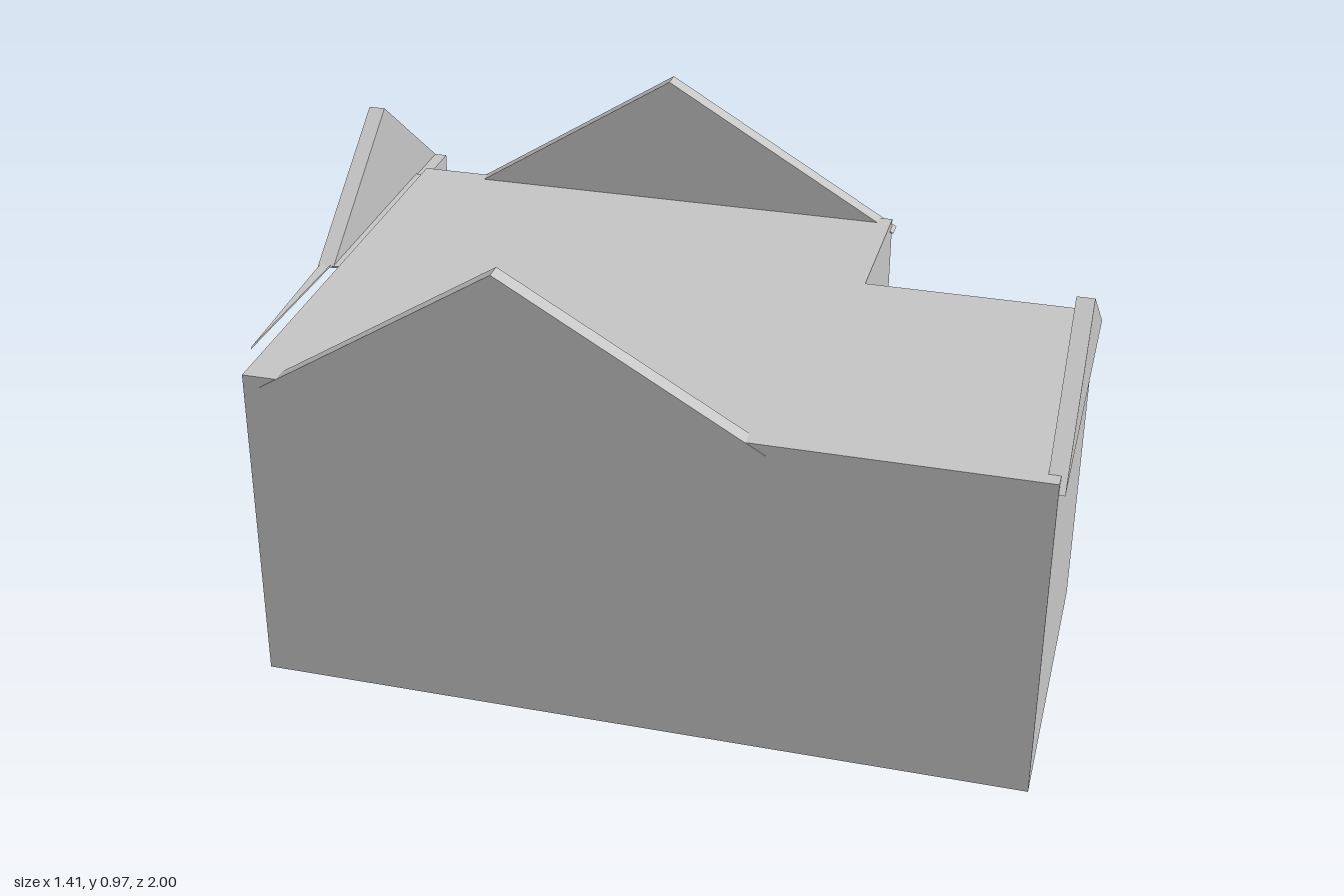
import * as THREE from 'three';

const WALL = 0.69, EAVE = 0.668;

export function createModel() {
  const model = new THREE.Group();
  model.name = 'building';
  const grey = new THREE.MeshStandardMaterial({ color: 0xc6c6c6 });
  grey.name = 'plain grey';
  grey.side = THREE.DoubleSide;

  // local axes: x runs along the back wall, z along the side wall, origin at the back corner
  const house = new THREE.Group();
  house.name = 'house';
  house.position.set(-0.71, 0, -0.44);
  house.rotation.y = THREE.MathUtils.degToRad(24.7);
  model.add(house);

  const add = (name, geometry) => {
    const mesh = new THREE.Mesh(geometry, grey);
    mesh.name = name;
    house.add(mesh);
    return mesh;
  };
  const outline = (points) => new THREE.Shape(points.map(([x, y]) => new THREE.Vector2(x, y)));

  // floor plan [x, z] raised between two heights
  const slab = (name, plan, bottom, top) => {
    const g = new THREE.ExtrudeGeometry(outline(plan), { depth: top - bottom, bevelEnabled: false });
    g.rotateX(Math.PI / 2).translate(0, top, 0);
    return add(name, g);
  };

  // thin triangular gable: start, apex and end along the wall, apex height, thickness
  const gable = (start, apex, end, height, thickness) => new THREE.ExtrudeGeometry(
    outline([[start, EAVE], [end, EAVE], [apex, height]]), { depth: thickness, bevelEnabled: false });

  // L-shaped walls with a flat roof
  slab('mainWalls', [[0, 0], [1.038, 0], [1.038, 1.09], [0.706, 1.09], [0.706, 1.568], [0, 1.568]], 0, WALL);

  // small projection at the back corner
  slab('cornerProjection', [[1.032, -0.079], [1.17, -0.079], [1.17, 0], [1.032, 0]], 0, EAVE);

  // gables on the front and back walls
  add('frontGable', gable(0, 0.332, 0.708, 0.9, 0.035).translate(0, 0, 1.545));
  add('backGable', gable(0.528, 0.87, 1.17, 0.9, 0.035).translate(0, 0, -0.062));

  // gables on the two side walls
  add('rightGable', gable(0.035, 0.515, 1.035, 0.97, 0.036).rotateY(-Math.PI / 2).translate(0.034, 0, 0));
  add('leftGable', gable(0.115, 0.587, 1.098, 0.97, 0.038).rotateY(-Math.PI / 2).translate(1.05, 0, 0));

  // thin eaves joining the back gable to the wall
  slab('backEave', [[0.53, -0.03], [1.04, -0.03], [1.04, 0], [0.53, 0]], EAVE, EAVE + 0.004);
  slab('eaveSliver', [[0.14, -0.045], [0.54, -0.058], [0.54, -0.035]], EAVE, EAVE + 0.004);

  return model;
}
